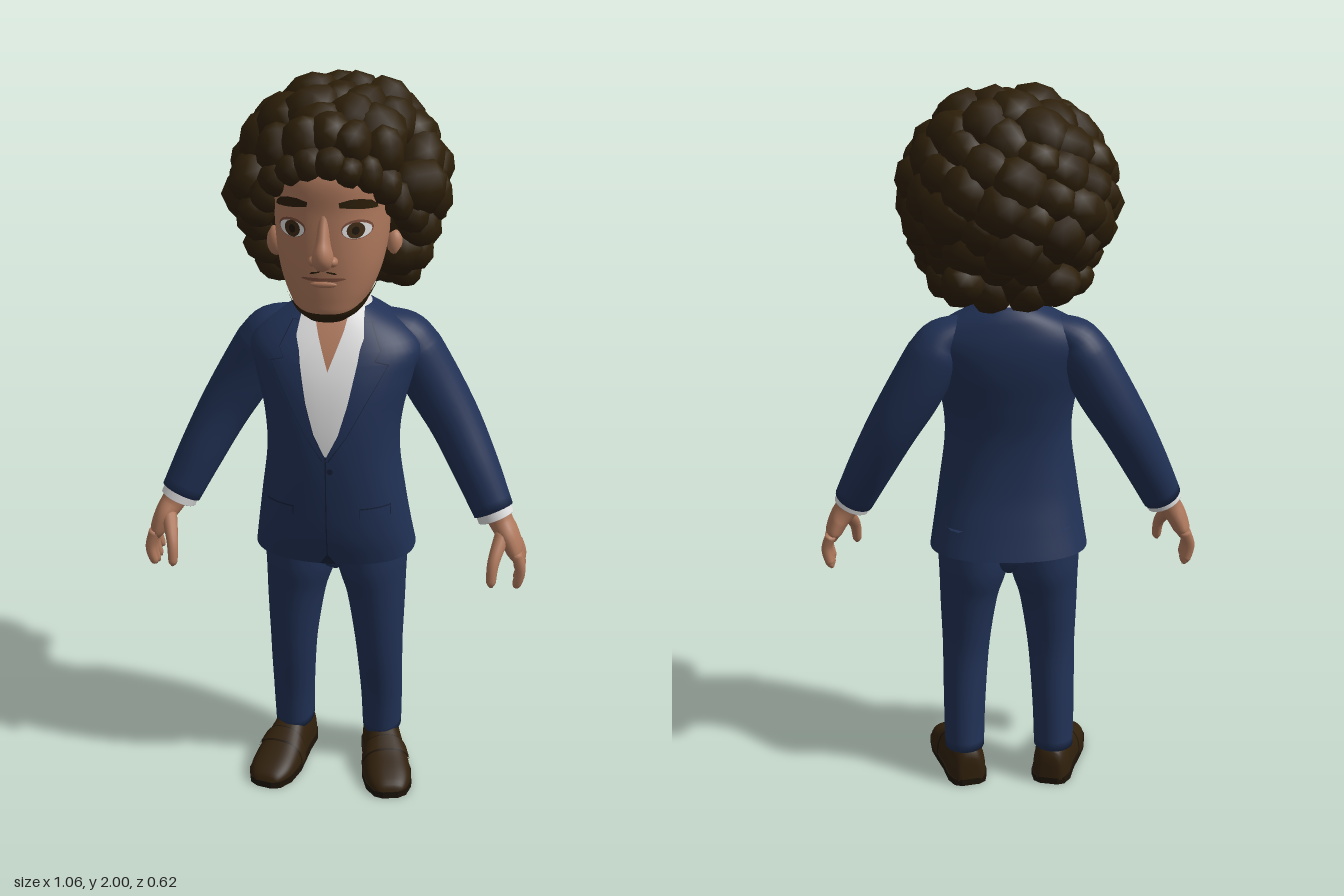
import * as THREE from 'three';
import { mergeVertices, mergeGeometries, toCreasedNormals } from 'three/addons/utils/BufferGeometryUtils.js';

const mat = (name, color, side = THREE.FrontSide) => {
  const m = new THREE.MeshStandardMaterial({ color, side });
  m.name = name;
  return m;
};

// Surface from a point rule p(u, v); it faces du x dv
function grid(nu, nv, p, crease) {
  const pos = [], idx = [];
  for (let j = 0; j <= nv; j++) for (let i = 0; i <= nu; i++) pos.push(...p(i / nu, j / nv, j));
  for (let j = 0; j < nv; j++) for (let i = 0; i < nu; i++) {
    const a = j * (nu + 1) + i, d = a + nu + 1;
    idx.push(a, a + 1, d, a + 1, d + 1, d);
  }
  let g = new THREE.BufferGeometry();
  g.setAttribute('position', new THREE.Float32BufferAttribute(pos, 3));
  g.setIndex(idx);
  g = mergeVertices(g, 1e-5);
  g.computeVertexNormals();
  return crease ? toCreasedNormals(g, crease) : g;
}

// Upright body from rows [y, half width, front z, back z], rounded by power n
function body(rows, n) {
  const spline = new THREE.CubicInterpolant(rows.map(r => r[0]), rows.flatMap(r => r.slice(1)), 3, new Float32Array(3));
  const at = y => Array.from(spline.evaluate(y));
  const pw = t => Math.sign(t) * Math.abs(t) ** (2 / n);
  const point = (a, y, off = 0, k = 1) => {
    const [w, f, b] = at(y);
    return [k * (w + off) * pw(Math.sin(a)), y, (f + b) / 2 + k * ((f - b) / 2 + off) * pw(Math.cos(a))];
  };
  const front = (x, y) => {
    const [w, f, b] = at(y);
    return (f + b) / 2 + (f - b) / 2 * Math.max(0, 1 - Math.abs(x / w) ** n) ** (1 / n);
  };
  const y0 = rows[0][0], y1 = rows[rows.length - 1][0], N = 44;
  const solid = () => grid(48, N + 2, (u, v, j) => point(u * Math.PI * 2, y0 + (y1 - y0) * Math.min(N, Math.max(0, j - 1)) / N,
    0, j === 0 || j === N + 2 ? 0 : 1), 0.9);
  // Thin plate on the front from rows [y, x0, x1]; s = -1 mirrors it
  const plate = (rs, off, s = 1) => grid(8, (rs.length - 1) * 4, (u, v) => {
    const t = v * (rs.length - 1), i = Math.min(rs.length - 2, Math.floor(t));
    const [y, a, b] = rs[i].map((q, k) => q + (rs[i + 1][k] - q) * (t - i));
    const x = s > 0 ? a + (b - a) * u : -b + (b - a) * u;
    return [x, y, front(x, y) + off];
  });
  return { point, solid, plate };
}

// Oval outline rows for a plate
const oval = (cx, cy, rx, ry) => Array.from({ length: 9 }, (_, i) => {
  const a = -Math.PI / 2 + Math.PI * i / 8, w = rx * Math.cos(a);
  return [cy + ry * Math.sin(a), cx - w, cx + w];
});

// Tapered limb from rings [x, y, z, rx, rz], listed from the bottom up, with closed ends
function limb(pts, s = 1, seg = 20) {
  const ctr = new THREE.CatmullRomCurve3(pts.map(p => new THREE.Vector3(p[0] * s, p[1], p[2])));
  const size = new THREE.CatmullRomCurve3(pts.map(p => new THREE.Vector3(p[3], p[4], 0)));
  const N = pts.length * 4;
  return grid(seg, N + 2, (u, v, j) => {
    const t = Math.min(N, Math.max(0, j - 1)) / N, k = j === 0 || j === N + 2 ? 0 : 1;
    const c = ctr.getPoint(t), r = size.getPoint(t), T = ctr.getTangent(t), a = u * Math.PI * 2;
    const X = new THREE.Vector3().crossVectors(T, new THREE.Vector3(0, 0, 1)).normalize();
    const Z = new THREE.Vector3().crossVectors(X, T);
    return c.addScaledVector(X, k * r.x * Math.sin(a)).addScaledVector(Z, k * r.y * Math.cos(a)).toArray();
  });
}

const ball = (x, y, z, rx, ry, rz) => new THREE.SphereGeometry(1, 20, 14).scale(rx, ry, rz).translate(x, y, z);

export function createModel() {
  const model = new THREE.Group();
  model.name = 'man in suit';
  const suit = mat('navy suit', 0x213155), seam = mat('dark navy seam', 0x172139);
  const skin = mat('skin', 0xae785c), white = mat('white shirt', 0xdedede, THREE.DoubleSide);
  const hairM = mat('dark brown hair', 0x2d1f09), leather = mat('brown leather', 0x30200c);
  const soleM = mat('dark sole', 0x1d1409), lipM = mat('lip', 0x7d4e3c), iris = mat('brown iris', 0x3f2a14);
  const add = (name, geo, m, parent = model) => {
    const mesh = new THREE.Mesh(geo, m);
    mesh.name = name;
    parent.add(mesh);
    return mesh;
  };

  // Jacket
  const torso = body([
    [0.725, 0.222, 0.195, -0.122], [0.8, 0.21, 0.217, -0.1], [0.9, 0.195, 0.23, -0.075], [1.05, 0.177, 0.237, -0.065],
    [1.15, 0.186, 0.229, -0.08], [1.25, 0.212, 0.205, -0.098], [1.32, 0.226, 0.172, -0.1], [1.37, 0.18, 0.138, -0.092],
    [1.415, 0.098, 0.1, -0.075], [1.435, 0.06, 0.08, -0.05]], 2.35);
  add('jacket', torso.solid(), suit);
  add('frontSeam', torso.plate([[0.73, -0.0015, 0.0015], [0.9, -0.0015, 0.0015], [1.06, -0.0015, 0.0015]], 0.004), seam);
  add('hemSplit', torso.plate([[0.727, -0.022, 0.022], [0.76, -0.001, 0.001]], 0.003), seam);
  add('button', torso.plate(oval(0.012, 1.02, 0.008, 0.008), 0.006), seam);

  // Shirt front, open neck, collar
  add('shirtFront', torso.plate([[1.055, 0, 0], [1.12, -0.032, 0.032], [1.2, -0.055, 0.055], [1.3, -0.075, 0.075],
    [1.38, -0.085, 0.085], [1.42, -0.07, 0.07]], 0.003), white);
  add('openNeck', torso.plate([[1.28, 0, 0], [1.36, -0.03, 0.03], [1.42, -0.05, 0.05]], 0.007), skin);
  add('neck', limb([[0, 1.34, 0.03, 0.066, 0.068], [0, 1.42, 0.03, 0.066, 0.07], [0, 1.52, 0.05, 0.07, 0.08]]), skin);
  add('collarStand', grid(30, 3, (u, v) => {
    const a = 0.5 + u * (Math.PI * 2 - 1), r = 0.1 - 0.02 * v;
    return [r * Math.sin(a), 1.4 + 0.045 * v - 0.03 * Math.cos(a), 0.03 + r * Math.cos(a)];
  }), white);

  for (const s of [1, -1]) {
    const side = s > 0 ? 'left' : 'right';
    const part = (name, geo, m) => add(side + name, geo, m);
    part('CollarFlap', torso.plate([[1.305, 0.066, 0.07], [1.36, 0.032, 0.088], [1.42, 0.045, 0.08]], 0.012, s), white);
    // Lapels and pocket flaps with a dark edge under each
    const lapel = e => [[1.05 - e, 0, 0.006 + e], [1.12, 0.032, 0.055 + e], [1.2, 0.055, 0.098 + e], [1.295, 0.075, 0.152 + e],
      [1.305, 0.076, 0.118 + e], [1.33, 0.08, 0.13 + e], [1.39, 0.085, 0.102 + e]];
    part('LapelEdge', torso.plate(lapel(0.0025), 0.005, s), seam);
    part('Lapel', torso.plate(lapel(0), 0.009, s), suit);
    part('PocketEdge', torso.plate([[0.878, 0.0885, 0.1665], [0.909, 0.0885, 0.1665]], 0.004, s), seam);
    part('PocketFlap', torso.plate([[0.88, 0.09, 0.165], [0.907, 0.09, 0.165]], 0.008, s), suit);

    // Sleeve, cuff and hand
    part('Sleeve', limb([[0.435, 0.85, 0.057, 0.056, 0.053], [0.382, 0.96, 0.026, 0.064, 0.068], [0.32, 1.08, -0.003, 0.071, 0.076],
      [0.258, 1.185, -0.012, 0.077, 0.08], [0.205, 1.28, -0.01, 0.076, 0.084], [0.18, 1.325, -0.005, 0.062, 0.075],
      [0.11, 1.37, 0, 0.03, 0.05]], s, 28), suit);
    part('Cuff', limb([[0.443, 0.832, 0.06, 0.051, 0.049], [0.43, 0.86, 0.055, 0.05, 0.048]], s), white);
    part('Palm', limb([[0.503, 0.725, 0.07, 0.014, 0.04], [0.496, 0.75, 0.073, 0.025, 0.054], [0.478, 0.79, 0.073, 0.03, 0.05],
      [0.456, 0.825, 0.065, 0.034, 0.036], [0.44, 0.86, 0.058, 0.036, 0.034]], s), skin);
    for (let i = 0; i < 4; i++) {
      const z = 0.112 - i * 0.028, d = [0.008, 0, 0.004, 0.02][i];
      part('Finger' + (i + 1), limb([[0.503, 0.637 + d, z - 0.005, 0.004, 0.004], [0.508, 0.647 + d, z, 0.012, 0.012],
        [0.517, 0.69 + d, z + 0.002, 0.014, 0.014], [0.503, 0.75, z, 0.016, 0.016]], s, 10), skin);
    }
    part('Thumb', limb([[0.441, 0.672, 0.17, 0.004, 0.004], [0.44, 0.685, 0.168, 0.013, 0.013], [0.443, 0.735, 0.152, 0.016, 0.016],
      [0.465, 0.8, 0.09, 0.022, 0.022]], s, 12), skin);

    // Trouser leg and ankle
    part('TrouserLeg', limb([[0.131, 0.1, -0.01, 0.057, 0.075], [0.13, 0.22, 0.005, 0.06, 0.073], [0.124, 0.4, 0.032, 0.067, 0.081],
      [0.113, 0.58, 0.033, 0.084, 0.102], [0.1, 0.68, 0.03, 0.1, 0.118], [0.097, 0.8, 0.03, 0.102, 0.112]], s, 28), suit);
    part('Ankle', limb([[0.131, 0.06, -0.015, 0.042, 0.05], [0.131, 0.14, -0.012, 0.042, 0.05]], s), skin);

    // Shoe: arched sections from toe to heel, [z, half width, height]
    const shoe = new THREE.Group();
    shoe.name = side + 'Shoe';
    shoe.position.set(0.132 * s, 0, 0);
    shoe.rotation.y = 0.22 * s;
    model.add(shoe);
    const cut = [[0.24, 0.018, 0.015], [0.228, 0.042, 0.038], [0.19, 0.062, 0.057], [0.13, 0.068, 0.078], [0.08, 0.063, 0.1],
      [0.02, 0.056, 0.125], [-0.04, 0.054, 0.115], [-0.072, 0.042, 0.1], [-0.083, 0.022, 0.015]];
    const cutLine = new THREE.CatmullRomCurve3(cut.map(c => new THREE.Vector3(...c)));
    const arch = (t0, t1, e, n) => grid(20, n, (u, v) => {
      const c = cutLine.getPoint(t0 + (t1 - t0) * v), a = Math.PI * (1 - u);
      return [(c.y + e) * Math.sign(Math.cos(a)) * Math.abs(Math.cos(a)) ** 0.8,
        0.015 + Math.max(0, c.z - 0.015 + e) * Math.sin(a) ** 0.75, c.x];
    });
    add('upper', arch(0, 1, 0, 32), leather, shoe);
    add('strap', arch(0.4, 0.5, 0.005, 4), leather, shoe);
    add('strapEdge', arch(0.39, 0.51, 0.003, 4), soleM, shoe);
    const outline = new THREE.Shape([...cut.map(c => new THREE.Vector2(c[1] + 0.004, -c[0])),
      ...cut.slice().reverse().map(c => new THREE.Vector2(-c[1] - 0.004, -c[0]))]);
    add('sole', new THREE.ExtrudeGeometry(outline, { depth: 0.02, bevelEnabled: false }).rotateX(-Math.PI / 2), soleM, shoe);
  }
  add('trouserSeat', limb([[0, 0.645, 0.03, 0.02, 0.04], [0, 0.67, 0.03, 0.06, 0.075], [0, 0.72, 0.03, 0.14, 0.092],
    [0, 0.8, 0.035, 0.17, 0.1]]), suit);

  // Head and short jaw beard
  const head = body([
    [1.427, 0.045, 0.232, 0.13], [1.445, 0.075, 0.25, 0.07], [1.48, 0.1, 0.257, 0.02], [1.54, 0.126, 0.262, -0.04], [1.6, 0.139, 0.264, -0.08],
    [1.7, 0.149, 0.259, -0.13], [1.8, 0.15, 0.25, -0.14], [1.88, 0.11, 0.18, -0.1]], 2.3);
  add('head', head.solid(), skin);
  add('jawBeard', grid(40, 8, (u, v) => {
    const a = (u - 0.5) * 3.3, top = 1.455 + 0.09 * Math.min(1, Math.abs(a) / 1.6) ** 3;
    return head.point(a, 1.427 + (top - 1.427) * v, 0.004);
  }), hairM);
  add('beardUnderside', grid(24, 1, (u, v) => {
    const p = head.point(-u * Math.PI * 2, 1.427, 0.004, 1 - v);
    return [p[0], 1.4255, p[2]];
  }), hairM);
  add('nose', limb([[0, 1.574, 0.266, 0.006, 0.006], [0, 1.583, 0.27, 0.022, 0.024], [0, 1.605, 0.272, 0.027, 0.036], [0, 1.64, 0.262, 0.018, 0.028],
    [0, 1.69, 0.248, 0.013, 0.016], [0, 1.73, 0.242, 0.01, 0.006]]), skin);
  add('mouth', head.plate([[1.542, -0.035, 0.035], [1.546, -0.056, 0.056], [1.55, -0.05, 0.05]], 0.004), lipM);
  add('lowerLip', ball(0, 1.532, 0.257, 0.034, 0.009, 0.009), skin);
  for (const s of [1, -1]) {
    const side = s > 0 ? 'left' : 'right';
    add(side + 'Nostril', ball(0.023 * s, 1.592, 0.264, 0.014, 0.013, 0.018), skin);
    add(side + 'Ear', ball(0.153 * s, 1.585, 0.06, 0.024, 0.04, 0.026), skin);
    add(side + 'EyeLine', head.plate(oval(0.08, 1.669, 0.037, 0.024), 0.003, s), lipM);
    add(side + 'EyeWhite', head.plate(oval(0.08, 1.667, 0.034, 0.02), 0.005, s), white);
    add(side + 'Iris', head.plate(oval(0.078, 1.668, 0.021, 0.02), 0.007, s), iris);
    add(side + 'Pupil', head.plate(oval(0.078, 1.668, 0.009, 0.01), 0.009, s), soleM);
    add(side + 'Eyebrow', head.plate([[1.715, 0.118, 0.126], [1.725, 0.04, 0.124], [1.737, 0.038, 0.112], [1.744, 0.065, 0.09]], 0.007, s), hairM);
    add(side + 'Mustache', head.plate([[1.56, 0.026, 0.034], [1.564, 0.01, 0.03], [1.567, 0.007, 0.012]], 0.004, s), hairM);
  }

  // Curly hair: a core covered with broad uneven lumps, leaving the face free
  let seed = 7;
  const rand = () => (seed = seed * 16807 % 2147483647) / 2147483647;
  const lump = (x, y, z, r, ry = r) => {
    const g = new THREE.IcosahedronGeometry(1, 1), p = g.attributes.position, v = new THREE.Vector3(), k = rand() * 6;
    for (let i = 0; i < p.count; i++) {
      v.fromBufferAttribute(p, i);
      v.multiplyScalar(1 + 0.06 * Math.sin(3 * v.x + k) + 0.06 * Math.cos(4 * v.y + 2 * v.z + k));
      p.setXYZ(i, v.x, v.y, v.z);
    }
    g.deleteAttribute('uv');
    g.deleteAttribute('normal');
    const m = mergeVertices(g, 1e-4).rotateY(k).scale(r, ry, r).translate(x, y, z);
    m.computeVertexNormals();
    return m;
  };
  const curls = [];
  for (let i = 0, n = 100; i < n; i++) {
    const h = 1 - 2 * (i + 0.5) / n, q = Math.sqrt(1 - h * h), a = i * 2.39996;
    const x = 0.218 * q * Math.sin(a), y = 1.72 + 0.206 * h, z = -0.02 + 0.212 * q * Math.cos(a), r = 0.068 + rand() * 0.018;
    const face = (z > 0.01 && y < 1.67) || (z > 0.07 && Math.abs(x) < 0.2 && y < 1.85);
    const nape = y < 1.55 && (z > 0 || Math.hypot(x, z - 0.03) < 0.11);
    if (!face && !nape) curls.push(lump(x, y, z, r));
  }
  // Fringe and temple curls
  for (const [x, y, z, r] of [[-0.13, 1.775, 0.19, 0.042], [-0.085, 1.805, 0.222, 0.038], [-0.04, 1.82, 0.228, 0.04], [0.01, 1.825, 0.23, 0.042],
    [0.055, 1.805, 0.228, 0.038], [0.1, 1.795, 0.21, 0.04], [0.14, 1.765, 0.18, 0.042], [-0.165, 1.72, 0.13, 0.042], [0.168, 1.715, 0.13, 0.042],
    [-0.06, 1.865, 0.19, 0.055], [0.06, 1.865, 0.19, 0.055], [0, 1.88, 0.18, 0.058], [-0.13, 1.84, 0.16, 0.055], [0.13, 1.84, 0.16, 0.055]])
    curls.push(lump(x, y, z, r, r * 1.15));
  // Curls over the ears and down the nape, the same on both sides
  for (const s of [1, -1]) for (const [x, y, z, r] of [[0.195, 1.675, 0.085, 0.05], [0.205, 1.63, 0.03, 0.058], [0.19, 1.56, 0, 0.06],
    [0.165, 1.505, -0.03, 0.056], [0.12, 1.5, -0.09, 0.062], [0.045, 1.495, -0.135, 0.062], [0.12, 1.52, -0.17, 0.06]])
    curls.push(lump(x * s, y, z, r));
  add('hairCurls', mergeGeometries(curls), hairM);
  add('hairCore', ball(0, 1.73, -0.05, 0.235, 0.215, 0.21), hairM);
  return model;
}
